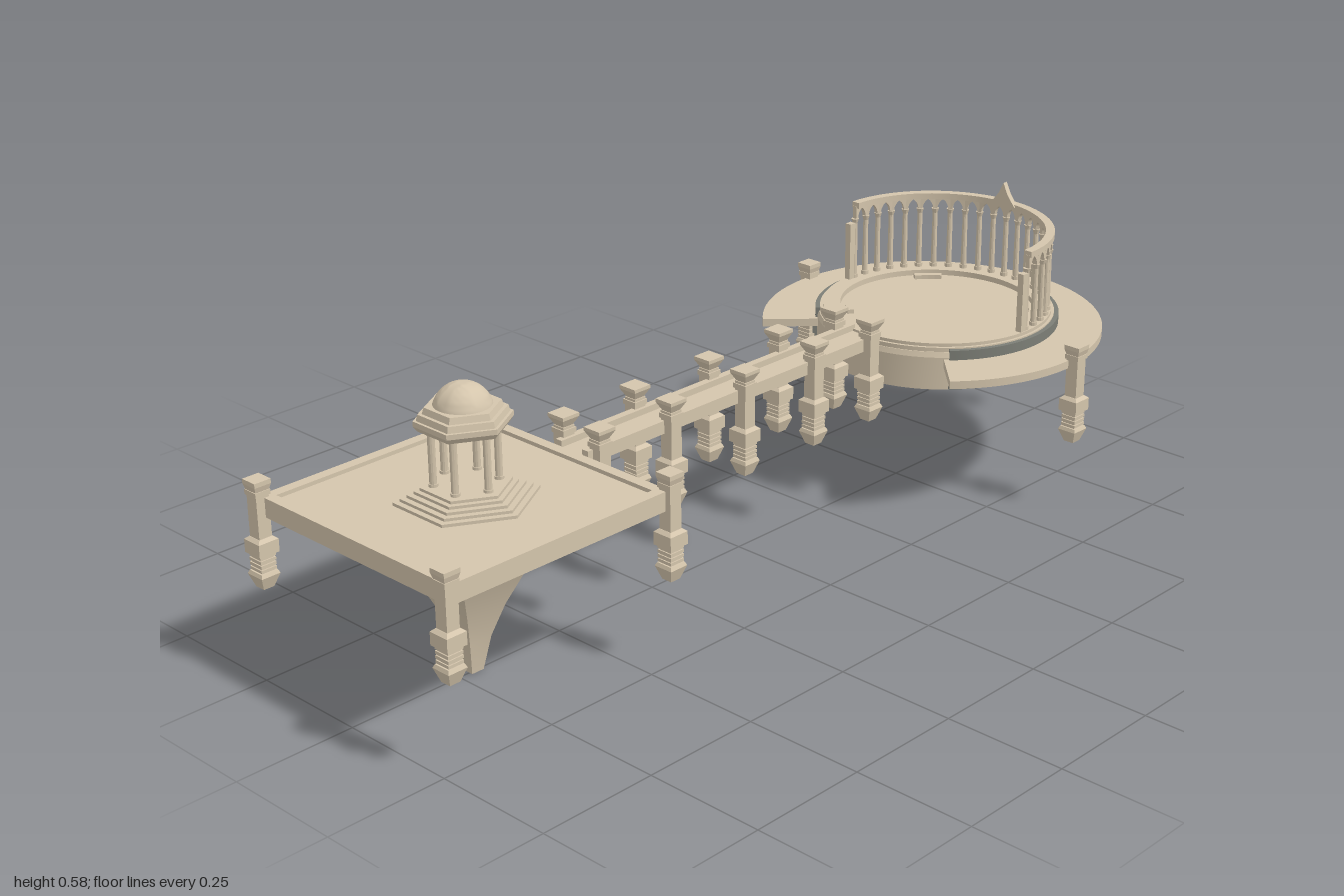
import * as THREE from 'three';
import { toCreasedNormals } from 'three/addons/utils/BufferGeometryUtils.js';

function material(name, color) {
  const m = new THREE.MeshStandardMaterial({ color });
  m.name = name;
  return m;
}
const stone = material('sandstone', 0xd4c5ac);
const slate = material('darkGreyStone', 0x7c7e76);

function add(parent, name, geometry, mat = stone) {
  const mesh = new THREE.Mesh(toCreasedNormals(geometry, 0.6), mat);
  mesh.name = name;
  parent.add(mesh);
  return mesh;
}

function group(parent, name, x = 0, y = 0, z = 0) {
  const g = new THREE.Group();
  g.name = name;
  g.position.set(x, y, z);
  parent.add(g);
  return g;
}

// Box given by width, depth and its bottom and top heights
function box(parent, name, w, d, y0, y1, x = 0, z = 0) {
  return add(parent, name, new THREE.BoxGeometry(w, y1 - y0, d).translate(x, (y0 + y1) / 2, z));
}

// Straight or tapered prism with a vertex on +x
function prism(parent, name, r0, r1, y0, y1, sides, x = 0, z = 0) {
  const g = new THREE.CylinderGeometry(r1, r0, y1 - y0, sides);
  return add(parent, name, g.rotateY(Math.PI / 2).translate(x, (y0 + y1) / 2, z));
}

// Square frustum aligned with the axes
function frustum(parent, name, w0, w1, y0, y1) {
  const g = new THREE.CylinderGeometry(w1 * Math.SQRT1_2, w0 * Math.SQRT1_2, y1 - y0, 4);
  return add(parent, name, g.rotateY(Math.PI / 4).translate(0, (y0 + y1) / 2, 0));
}

// Flat ring sector, angles measured from +x towards the back
function sector(parent, name, rIn, rOut, a0, a1, y0, y1, mat = stone) {
  const s = new THREE.Shape();
  s.absarc(0, 0, rOut, a0, a1, false);
  s.absarc(0, 0, rIn, a1, a0, true);
  s.closePath();
  const g = new THREE.ExtrudeGeometry(s, { depth: y1 - y0, bevelEnabled: false, curveSegments: 48 });
  return add(parent, name, g.rotateX(-Math.PI / 2).translate(0, y0, 0), mat);
}

// Hanging post, 0.215 tall, with ribbed foot
function post(parent, name, x, y, z, flared = false) {
  const p = group(parent, name, x, y, z);
  frustum(p, 'foot', 0.023, 0.042, 0, 0.027);
  frustum(p, 'footCollar', 0.042, 0.036, 0.027, 0.034);
  box(p, 'neck', 0.029, 0.029, 0.033, 0.07);
  for (let i = 0; i < 4; i++) box(p, 'rib', 0.034, 0.034, 0.036 + i * 0.009, 0.042 + i * 0.009);
  box(p, 'block', 0.044, 0.044, 0.07, 0.096);
  frustum(p, 'blockShoulder', 0.044, 0.03, 0.096, 0.102);
  box(p, 'shaft', 0.028, 0.028, 0.1, 0.2);
  box(p, 'capBand', 0.033, 0.033, 0.185, 0.195);
  if (flared) {
    frustum(p, 'flaredCap', 0.024, 0.042, 0.2, 0.217);
    box(p, 'capPlate', 0.042, 0.042, 0.217, 0.224);
  } else {
    frustum(p, 'cap', 0.03, 0.036, 0.195, 0.206);
    box(p, 'capPlate', 0.036, 0.036, 0.206, 0.215);
  }
}

function buildSquarePlatform(root) {
  const g = group(root, 'squarePlatform', -0.006, 0, 0.712);
  box(g, 'floor', 0.52, 0.52, 0.321, 0.352);
  for (const s of [-1, 1]) {
    box(g, 'sideRim', 0.022, 0.52, 0.35, 0.36, s * 0.249);
    box(g, 'endRim', 0.476, 0.022, 0.35, 0.36, 0, s * 0.249);
    for (const t of [-1, 1]) post(g, 'cornerPost', s * 0.258, 0.18, t * 0.264);
  }
  // Concave four-sided spike below
  const profile = [[0, 0], [0.014, 0], [0.026, 0.07], [0.046, 0.135], [0.073, 0.2], [0.105, 0.26], [0.143, 0.322]];
  const spike = new THREE.LatheGeometry(profile.map(([w, y]) => new THREE.Vector2(w * Math.SQRT2, y)), 4);
  add(g, 'spike', spike.rotateY(Math.PI / 4));
}

function buildPavilion(root) {
  const g = group(root, 'pavilion', -0.004, 0, 0.708);
  // Hexagonal stairs
  [0.135, 0.122, 0.109, 0.096, 0.085].forEach((r, i) =>
    prism(g, 'step', r, r, i ? 0.352 + i * 0.0056 : 0.35, 0.358 + i * 0.0056, 6));
  // Columns
  for (let i = 0; i < 6; i++) {
    const a = i * Math.PI / 3, x = 0.06 * Math.cos(a), z = 0.06 * Math.sin(a);
    prism(g, 'columnBase', 0.009, 0.009, 0.378, 0.386, 12, x, z);
    prism(g, 'column', 0.007, 0.007, 0.386, 0.484, 12, x, z);
    prism(g, 'capital', 0.007, 0.009, 0.484, 0.492, 12, x, z);
  }
  // Layered roof and dome
  prism(g, 'roofEdge', 0.084, 0.091, 0.49, 0.5, 6);
  prism(g, 'roofBand', 0.091, 0.091, 0.5, 0.51, 6);
  prism(g, 'roofTier', 0.085, 0.082, 0.51, 0.522, 6);
  prism(g, 'roofTop', 0.074, 0.07, 0.522, 0.534, 6);
  add(g, 'dome', new THREE.SphereGeometry(0.056, 32, 12, 0, Math.PI * 2, 0, Math.PI / 2).translate(0, 0.519, 0));
}

function buildBridge(root) {
  const g = group(root, 'bridge', -0.004);
  box(g, 'deck', 0.08, 0.84, 0.343, 0.357, 0, 0.03);
  for (const s of [-1, 1]) {
    box(g, 'sideRail', 0.016, 0.84, 0.343, 0.37, s * 0.036, 0.03);
    for (const z of [-0.348, -0.175, 0.03, 0.236, 0.424]) post(g, 'bridgePost', s * 0.049, 0.19, z, true);
  }
}

function buildRotunda(root) {
  const g = group(root, 'rotunda', -0.004, 0, -0.628);
  const a0 = -Math.PI / 4, a1 = Math.PI * 1.25;
  prism(g, 'drum', 0.258, 0.258, 0.264, 0.335, 64);
  prism(g, 'drumStep', 0.258, 0.254, 0.335, 0.346, 64);
  prism(g, 'floor', 0.215, 0.215, 0.34, 0.349, 64);
  // Raised rim in two tiers
  sector(g, 'outerRim', 0.215, 0.252, 0, Math.PI * 2, 0.34, 0.355);
  sector(g, 'innerRim', 0.208, 0.246, 0, Math.PI * 2, 0.35, 0.362);
  // Crescent terrace, open to the front
  const terrace = sector(g, 'crescentTerrace', 0.24, 0.365, a0, a1, 0.314, 0.331);
  terrace.position.z = 0.016;
  // Dark mouldings around the drum, below and above the terrace
  sector(g, 'lowerMoulding', 0.25, 0.263, a0, a1, 0.266, 0.294, slate);
  sector(g, 'middleMoulding', 0.25, 0.268, a0, a1, 0.294, 0.315, slate);
  sector(g, 'upperMoulding', 0.25, 0.262, a0, a1, 0.33, 0.352, slate);
  post(g, 'terracePost', -0.366, 0.15, 0.003);
  post(g, 'terracePost', 0.374, 0.15, 0.003);
  post(g, 'terracePost', 0.002, 0.15, -0.35);
  // Low benches
  for (let i = 0; i < 4; i++) {
    const a = Math.PI / 4 + i * Math.PI / 2;
    sector(g, 'bench', 0.183, 0.198, a - 0.16, a + 0.16, 0.348, 0.358);
  }
  buildArcade(g);
}

// Half-round arcade along the back of the rotunda
function buildArcade(parent) {
  const g = group(parent, 'arcade');
  const R = 0.236, bays = 22, step = Math.PI / bays;
  const w = R * step / 2 + 0.001, r = w - 0.006;
  const arch = new THREE.Shape();
  arch.moveTo(-w, 0.03);
  arch.lineTo(-w, 0);
  arch.lineTo(-r, 0);
  arch.quadraticCurveTo(-r, 0.016, 0, 0.024);
  arch.quadraticCurveTo(r, 0.016, r, 0);
  arch.lineTo(w, 0);
  arch.lineTo(w, 0.03);
  arch.closePath();
  const archGeometry = new THREE.ExtrudeGeometry(arch, { depth: 0.01, bevelEnabled: false, curveSegments: 6 })
    .translate(0, 0.496, -0.005);
  for (let i = 0; i <= bays; i++) {
    const a = i * step, x = R * Math.cos(a), z = -R * Math.sin(a);
    prism(g, 'columnBase', 0.0085, 0.0085, 0.358, 0.37, 10, x, z);
    prism(g, 'column', 0.0065, 0.0055, 0.37, 0.488, 10, x, z);
    prism(g, 'capital', 0.0055, 0.0085, 0.488, 0.498, 10, x, z);
    if (i < bays) {
      const b = a + step / 2;
      const m = add(g, 'arch', archGeometry);
      m.position.set(R * Math.cos(b), 0, -R * Math.sin(b));
      m.rotation.y = b - Math.PI / 2;
    }
  }
  sector(g, 'topRail', 0.226, 0.245, 0, Math.PI, 0.522, 0.535);
  // Shorter posts at both ends
  for (const s of [-1, 1]) box(g, 'endPost', 0.014, 0.016, 0.355, 0.49, s * 0.237, 0.014);
  // Pointed gable at the centre of the rail
  const gable = new THREE.Shape([[-0.032, 0.53], [0.032, 0.53], [0.012, 0.555], [0, 0.58], [-0.012, 0.555]]
    .map(([x, y]) => new THREE.Vector2(x, y)));
  add(g, 'gable', new THREE.ExtrudeGeometry(gable, { depth: 0.012, bevelEnabled: false }).translate(0, 0, -0.232));
}

export function createModel() {
  const root = new THREE.Group();
  root.name = 'terraceWithBridge';
  buildSquarePlatform(root);
  buildPavilion(root);
  buildBridge(root);
  buildRotunda(root);
  return root;
}
